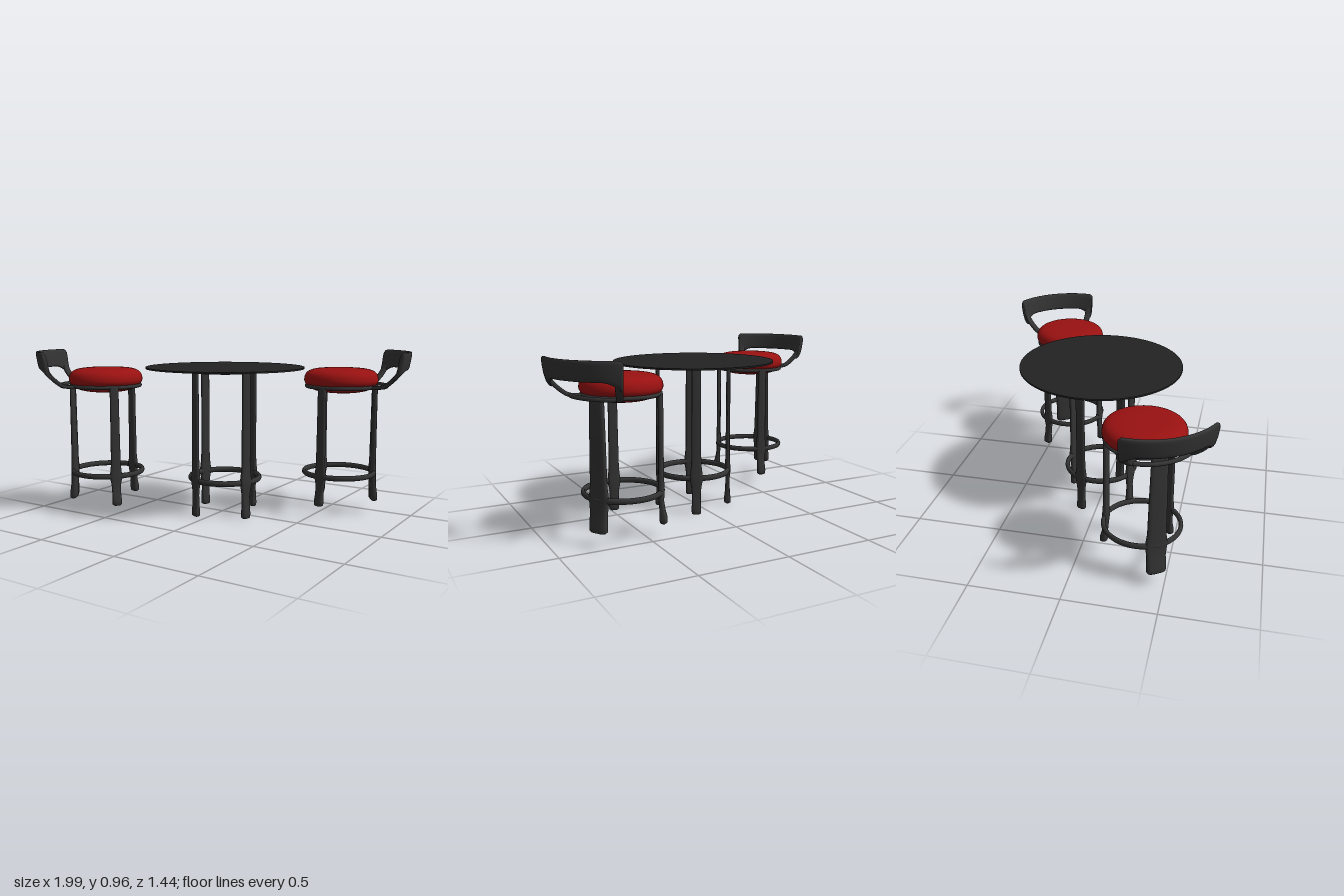
import * as THREE from 'three';

const frameMat = new THREE.MeshStandardMaterial({ color: 0x333333, side: THREE.DoubleSide });
const topMat = new THREE.MeshStandardMaterial({ color: 0x222222 });
const seatMat = new THREE.MeshStandardMaterial({ color: 0x991111 });
const rad = THREE.MathUtils.degToRad;

function add(parent, name, geometry, material = frameMat) {
  const mesh = new THREE.Mesh(geometry, material);
  mesh.name = name;
  parent.add(mesh);
  return mesh;
}

// Point at polar angle a (in x, z), radius r, height y, shifted sideways by s
function polar(a, r, y, s = 0) {
  return new THREE.Vector3(r * Math.cos(a) - s * Math.sin(a), y, r * Math.sin(a) + s * Math.cos(a));
}

// Closed skin through equal-length loops of points, with capped ends
function loft(loops) {
  const n = loops[0].length, pts = loops.flat(), idx = [];
  for (let i = 0; i < loops.length - 1; i++) {
    for (let j = 0; j < n; j++) {
      const a = i * n + j, b = i * n + (j + 1) % n;
      idx.push(a, b, a + n, b, b + n, a + n);
    }
  }
  for (const end of [0, loops.length - 1]) {
    const mid = loops[end].reduce((s, p) => s.add(p), new THREE.Vector3()).divideScalar(n);
    const c = pts.push(mid) - 1;
    for (let j = 0; j < n; j++) {
      const a = end * n + j, b = end * n + (j + 1) % n;
      idx.push(...(end ? [a, b, c] : [b, a, c]));
    }
  }
  // Turn the skin outward if its signed volume is negative
  let volume = 0;
  const cross = new THREE.Vector3();
  for (let k = 0; k < idx.length; k += 3) {
    volume += pts[idx[k]].dot(cross.crossVectors(pts[idx[k + 1]], pts[idx[k + 2]]));
  }
  if (volume < 0) idx.reverse();
  const g = new THREE.BufferGeometry().setFromPoints(pts);
  g.setIndex(idx);
  g.computeVertexNormals();
  return g;
}

// Rounded-box cross-section as [u, v] pairs
function section(w, t, n = 20, power = 0.6) {
  return Array.from({ length: n }, (_, i) => {
    const a = (i / n) * Math.PI * 2, c = Math.cos(a), s = Math.sin(a);
    return [Math.sign(c) * Math.abs(c) ** power * w / 2, Math.sign(s) * Math.abs(s) ** power * t / 2];
  });
}

// Flat leg facing outward; rows are [y, width, thickness, outward shift]
function leg(angle, radius, rows) {
  return loft(rows.map(([y, w, t, out = 0]) =>
    section(w, t).map(([u, v]) => polar(angle, radius + out + v, y, u))));
}

function ring(radius, tube, height, y) {
  const g = new THREE.TorusGeometry(radius, tube, 12, 64);
  g.rotateX(Math.PI / 2);
  g.scale(1, height / (2 * tube), 1);
  g.translate(0, y, 0);
  return g;
}

function makeTable() {
  const table = new THREE.Group();
  table.name = 'table';
  add(table, 'tableTop', new THREE.CylinderGeometry(0.466, 0.466, 0.009, 80).translate(0, 0.869, 0), topMat);
  add(table, 'topRing', ring(0.208, 0.013, 0.026, 0.854));
  add(table, 'footRing', ring(0.207, 0.013, 0.034, 0.213));
  const rows = [
    [0, 0.035, 0.02], [0.006, 0.052, 0.036], [0.03, 0.055, 0.038], [0.06, 0.052, 0.03], [0.13, 0.052, 0.022],
    [0.17, 0.062, 0.024], [0.2, 0.074, 0.03], [0.23, 0.074, 0.03], [0.28, 0.062, 0.024], [0.34, 0.056, 0.023],
    [0.6, 0.055, 0.022], [0.86, 0.053, 0.022],
  ];
  for (let i = 0; i < 4; i++) add(table, 'tableLeg', leg(rad(22.5 + 90 * i), 0.209, rows));
  table.position.set(0.01, 0, -0.008);
  return table;
}

function makeStool() {
  const stool = new THREE.Group();
  stool.name = 'stool';

  // Cushion
  const profile = new THREE.SplineCurve([
    [0, 0.724], [0.1, 0.728], [0.17, 0.745], [0.205, 0.775], [0.215, 0.802],
    [0.203, 0.838], [0.165, 0.859], [0.09, 0.867], [0, 0.868],
  ].map(([x, y]) => new THREE.Vector2(x, y)));
  const outline = profile.getPoints(32).map(p => new THREE.Vector2(Math.max(0, p.x), p.y));
  add(stool, 'seat', new THREE.LatheGeometry(outline, 64), seatMat);

  // Rings
  add(stool, 'seatRing', ring(0.198, 0.013, 0.024, 0.763));
  add(stool, 'footRing', ring(0.206, 0.012, 0.032, 0.25));

  // Two slim legs and a broad one below the backrest
  const slim = [
    [0.08, 0.035, 0.022, 0.012], [0.087, 0.052, 0.038, 0.012], [0.11, 0.054, 0.04, 0.011], [0.15, 0.05, 0.028, 0.006],
    [0.2, 0.054, 0.024], [0.235, 0.068, 0.03], [0.265, 0.068, 0.03], [0.32, 0.056, 0.025],
    [0.55, 0.052, 0.024], [0.765, 0.05, 0.024],
  ];
  const broad = [
    [0.08, 0.085, 0.03, 0.01], [0.088, 0.104, 0.042, 0.01], [0.12, 0.106, 0.042, 0.008], [0.18, 0.104, 0.032, 0.003],
    [0.235, 0.116, 0.034], [0.265, 0.116, 0.034], [0.32, 0.102, 0.03], [0.55, 0.095, 0.027], [0.765, 0.086, 0.026],
  ];
  add(stool, 'frontLeg', leg(rad(98), 0.203, slim));
  add(stool, 'frontLeg', leg(rad(216), 0.203, slim));
  add(stool, 'backLeg', leg(rad(-31), 0.199, broad));

  // Backrest rail: a leaning band whose lower corners blend into the arms
  const start = rad(-70), end = rad(9), steps = 48, loops = [];
  for (let i = 0; i <= steps; i++) {
    const a = start + (end - start) * i / steps;
    const edge = Math.min(a - start, end - a);
    const drop = 0.05 * Math.max(0, 1 - edge / 0.28) ** 2;
    const trim = 0.014 * Math.max(0, 1 - edge / 0.05) ** 2;
    const low = 0.862 - drop, high = 0.965 - trim;
    loops.push(section(0.026, high - low, 20, 0.5).map(([u, v]) => {
      const y = (low + high) / 2 + v;
      const r = 0.387 - 0.16 * Math.max(0, 0.965 - y) - 4 * Math.max(0, 0.875 - y) ** 2;
      return polar(a, r + u, y);
    }));
  }
  add(stool, 'backRail', loft(loops));

  // Arms sweeping from the seat ring up to the rail ends
  const path = new THREE.CatmullRomCurve3([
    [0.2, 0.763], [0.265, 0.768], [0.315, 0.8], [0.36, 0.85], [0.38, 0.91],
  ].map(([r, y]) => new THREE.Vector3(r, y, 0)));
  for (const a of [start + 0.055, end - 0.055]) {
    const arm = [];
    for (let i = 0; i <= 16; i++) {
      const p = path.getPoint(i / 16), t = path.getTangent(i / 16);
      arm.push(section(0.032 + 0.01 * i / 16, 0.022, 16).map(([u, v]) => polar(a, p.x - t.y * v, p.y + t.x * v, u)));
    }
    add(stool, 'backArm', loft(arm));
  }

  // Lower bar joining the arms
  const bar = [];
  for (let i = 0; i <= 32; i++) {
    const a = start + 0.05 + (end - start - 0.1) * i / 32;
    bar.push(section(0.024, 0.022, 12, 0.9).map(([u, v]) => polar(a, 0.262 + u, 0.766 + v)));
  }
  add(stool, 'lowerBackBar', loft(bar));
  return stool;
}

export function createModel() {
  const model = new THREE.Group();
  model.name = 'barTableWithStools';
  model.add(makeTable());
  for (const side of [1, -1]) {
    const stool = makeStool();
    stool.position.set(0.6 * side, 0, -0.348 * side);
    stool.rotation.y = side > 0 ? 0 : Math.PI;
    model.add(stool);
  }
  return model;
}
